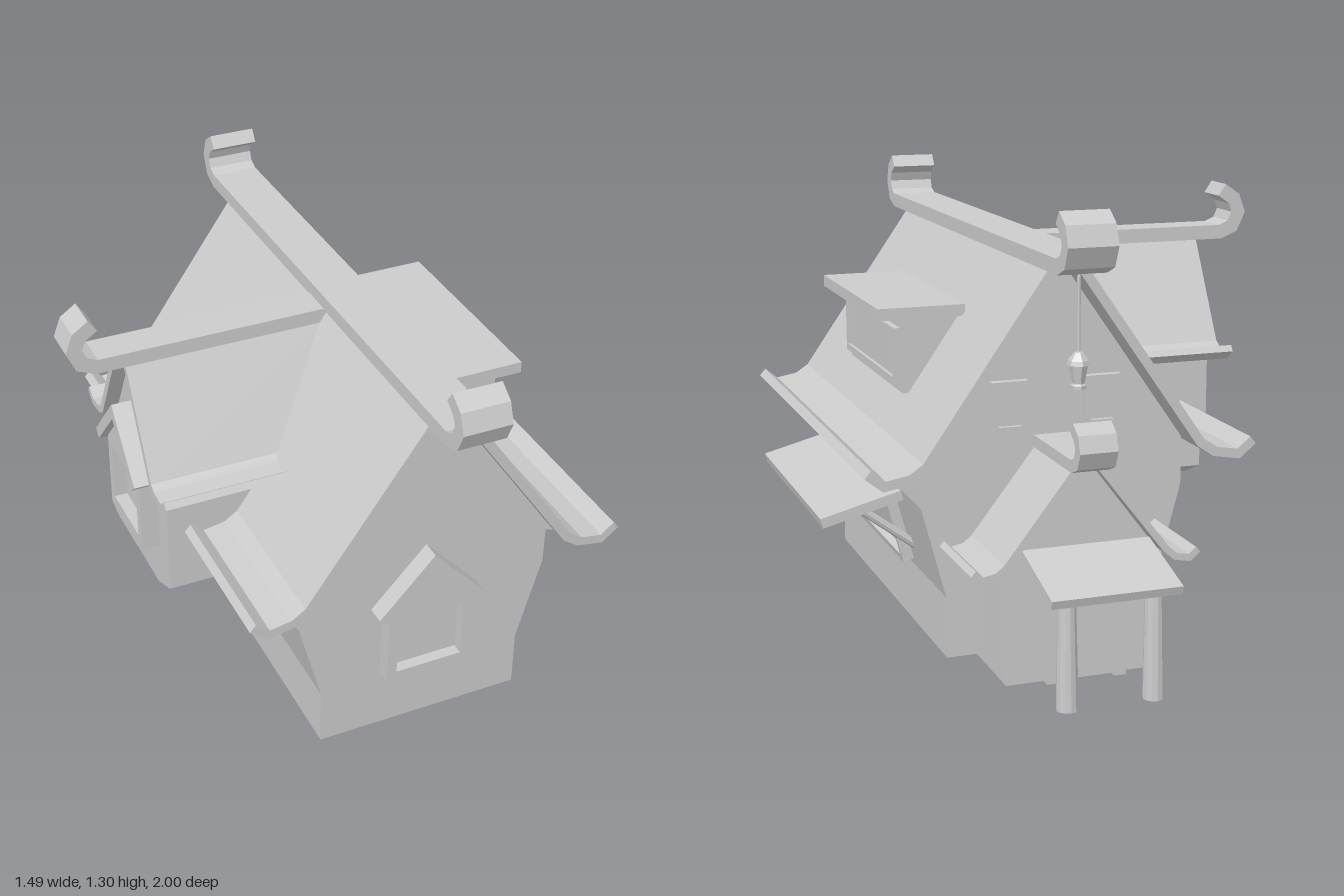
import * as THREE from 'three';

const material = new THREE.MeshStandardMaterial({ color: 0xcccccc, flatShading: true });

function add(parent, name, geometry, x = 0, y = 0, z = 0) {
  const mesh = new THREE.Mesh(geometry, material);
  mesh.name = name;
  mesh.position.set(x, y, z);
  parent.add(mesh);
  return mesh;
}

function group(parent, name, x = 0, y = 0, z = 0) {
  const g = new THREE.Group();
  g.name = name;
  g.position.set(x, y, z);
  parent.add(g);
  return g;
}

const box = (parent, name, w, h, d, x, y, z) => add(parent, name, new THREE.BoxGeometry(w, h, d), x, y, z);
const toShape = (pts) => new THREE.Shape(pts.map(([x, y]) => new THREE.Vector2(x, y)));

// Outline extruded from z0 to z1, with an optional hole
function prism(pts, z0, z1, hole) {
  const shape = toShape(pts);
  if (hole) shape.holes.push(toShape(hole));
  return new THREE.ExtrudeGeometry(shape, { depth: z1 - z0, bevelEnabled: false }).translate(0, 0, z0);
}

// Band of even thickness following a path, extruded from z0 to z1
function ribbon(path, thickness, z0, z1) {
  const p = path.map(([x, y]) => new THREE.Vector2(x, y));
  const upper = [], lower = [];
  p.forEach((v, i) => {
    const a = p[Math.max(i - 1, 0)], b = p[Math.min(i + 1, p.length - 1)];
    const d1 = (i ? v.clone().sub(a) : b.clone().sub(v)).normalize();
    const d2 = (i < p.length - 1 ? b.clone().sub(v) : d1.clone()).normalize();
    const n = new THREE.Vector2(-d1.y - d2.y, d1.x + d2.x).normalize();
    const k = thickness / 2 / (n.x * -d1.y + n.y * d1.x);
    upper.push([v.x + n.x * k, v.y + n.y * k]);
    lower.unshift([v.x - n.x * k, v.y - n.y * k]);
  });
  return prism([...upper, ...lower], z0, z1);
}

const mirror = (pts) => [...pts, ...pts.map(([x, y]) => [-x, y]).reverse()];
const rect = (w, h) => [[-w / 2, -h / 2], [w / 2, -h / 2], [w / 2, h / 2], [-w / 2, h / 2]];

// Both slopes of a roof with upturned eaves
function roof(parent, name, half, thickness, z0, z1) {
  for (const s of [1, -1]) {
    add(parent, name, ribbon(half.map(([x, y]) => [x * s, y]), thickness, z0, z1));
  }
}

// Ridge beam along z; an end marked true curls upward
const CURL = [[-0.085, 0], [-0.042, 0.018], [-0.022, 0.062], [-0.038, 0.105], [-0.08, 0.134]];
function ridge(parent, name, y, width, back, front, curlBack, curlFront, scale = 1) {
  const start = curlBack ? CURL.map(([a, b]) => [back - a * scale, y + b * scale]).reverse() : [[back, y]];
  const end = curlFront ? CURL.map(([a, b]) => [front + a * scale, y + b * scale]) : [[front, y]];
  const mesh = add(parent, name, ribbon([...start, ...end], 0.044 * scale, -width / 2, width / 2));
  mesh.rotation.y = -Math.PI / 2;
}

// Rectangular window facing +z
function frameWindow(parent, name, w, h, border, depth, x, y, z) {
  const g = group(parent, name, x, y, z);
  add(g, 'windowFrame', prism(rect(w, h), -0.01, depth, rect(w - 2 * border, h - 2 * border)));
  box(g, 'windowPane', w - border, h - border, 0.02, 0, 0, 0);
  return g;
}

// Window with its own little gable and a bowed sill
function gableWindow(parent, y, z, depth, roofDepth) {
  const g = group(parent, 'gableWindow', 0, y, z);
  const outline = mirror([[0.08, 0.183], [0.135, 0.2], [0.135, 0.465], [0.001, 0.605]]);
  const hole = rect(0.21, 0.19).map(([a, b]) => [a, b + 0.33]);
  add(g, 'windowSurround', prism(outline, -0.02, depth, hole));
  box(g, 'windowPane', 0.22, 0.2, 0.03, 0, 0.33, 0);
  add(g, 'windowGable', ribbon([[-0.157, 0.443], [0, 0.615], [0.157, 0.443]], 0.033, -0.02, roofDepth));
}

function rod(parent, name, from, to, r0, r1, sides) {
  const a = new THREE.Vector3(...from), b = new THREE.Vector3(...to);
  const mesh = add(parent, name, new THREE.CylinderGeometry(r1, r0, a.distanceTo(b), sides));
  mesh.position.copy(a).lerp(b, 0.5);
  mesh.quaternion.setFromUnitVectors(new THREE.Vector3(0, 1, 0), b.sub(a).normalize());
}

export function createModel() {
  const root = new THREE.Group();
  root.name = 'cottage';
  const house = group(root, 'mainHouse', 0.108);

  // Main house
  add(house, 'houseBody', prism(mirror([[0.325, 0.004], [0.325, 0.185], [0.397, 0.455], [0.397, 0.6], [0.045, 1.11]]), -0.49, 0.71));
  roof(house, 'mainRoof', [[0.045, 1.125], [0.29, 0.775], [0.41, 0.603], [0.455, 0.573], [0.53, 0.56], [0.576, 0.597]], 0.028, -0.6, 0.805);
  ridge(house, 'mainRidge', 1.152, 0.145, -0.785, 1.0, true, true);
  gableWindow(house, 0, 0.71, 0.05, 0.057);

  // Back gable windows
  for (const x of [-0.14, 0.14]) {
    frameWindow(house, 'backWindow', 0.11, 0.15, 0.02, 0.025, x, 0.73, -0.49).rotation.y = Math.PI;
  }

  // Lantern under the rear end of the ridge
  const lantern = group(house, 'lantern', 0, 0, -0.68);
  rod(lantern, 'lanternRod', [0, 0.91, 0], [0, 1.14, 0], 0.005, 0.005, 6);
  const profile = [[0, 0.81], [0.022, 0.81], [0.022, 0.82], [0.017, 0.825], [0.026, 0.875], [0.034, 0.877], [0.03, 0.89], [0.012, 0.912], [0, 0.915]];
  add(lantern, 'lanternBody', new THREE.LatheGeometry(profile.map(([r, y]) => new THREE.Vector2(r, y)), 6));

  // Shed dormer on the left slope
  const shed = group(root, 'shedDormer', 0, 0, 0.105);
  box(shed, 'shedBody', 0.26, 0.225, 0.6, 0.34, 0.833, 0);
  box(shed, 'shedRoof', 0.262, 0.035, 0.66, 0.418, 0.962, 0);
  frameWindow(shed, 'shedWindow', 0.57, 0.168, 0.02, 0.02, 0.47, 0.828, 0).rotation.y = Math.PI / 2;

  // Wide window with awning on the left wall
  const wide = frameWindow(root, 'awningWindow', 0.58, 0.19, 0.02, 0.033, 0.463, 0.3, 0.11);
  wide.rotation.set(0, Math.PI / 2, -0.2535, 'ZYX');
  add(root, 'awning', ribbon([[0.495, 0.438], [0.74, 0.374]], 0.03, -0.278, 0.51));
  for (const z of [0.457, -0.225]) {
    rod(root, 'awningBrace', [0.445, 0.265, z], [0.625, 0.4, z], 0.013, 0.013, 8);
  }

  // Small window on the right wall
  const small = frameWindow(root, 'sideWindow', 0.15, 0.165, 0.025, 0.03, -0.245, 0.3, -0.217);
  small.rotation.set(0, -Math.PI / 2, 0.2535, 'ZYX');

  // Cross-gable bay facing right
  const bay = group(root, 'bay', 0, 0, 0.105);
  bay.rotation.y = -Math.PI / 2;
  add(bay, 'bayBody', prism(mirror([[0.11, 0.345], [0.21, 0.39], [0.21, 0.77], [0.035, 1.085]]), 0, 0.53));
  roof(bay, 'bayRoof', [[0.035, 1.1], [0.212, 0.785], [0.24, 0.77], [0.295, 0.763], [0.332, 0.79]], 0.022, -0.06, 0.576);
  ridge(bay, 'bayRidge', 1.112, 0.107, -0.06, 0.745, false, true);
  gableWindow(bay, 0.3, 0.53, 0.055, 0.08);

  // Rear annex
  const annex = group(root, 'annex', 0.115);
  add(annex, 'annexBody', prism(mirror([[0.225, 0], [0.225, 0.345], [0.03, 0.6]]), -0.74, -0.335));
  roof(annex, 'annexRoof', [[0.028, 0.62], [0.235, 0.355], [0.262, 0.333], [0.305, 0.325], [0.33, 0.347]], 0.02, -0.78, -0.4);
  ridge(annex, 'annexRidge', 0.623, 0.11, -0.855, -0.4, true, false, 0.8);

  // Door and its frame
  box(annex, 'door', 0.19, 0.27, 0.02, 0, 0.137, -0.742);
  for (const s of [-1, 1]) box(annex, 'doorJamb', 0.035, 0.3, 0.045, s * 0.1, 0.152, -0.7525);
  box(annex, 'doorLintel', 0.235, 0.035, 0.045, 0, 0.285, -0.7525);

  // Porch
  const porchRoof = add(annex, 'porchRoof', ribbon([[-0.996, 0.313], [-0.76, 0.382]], 0.025, -0.187, 0.187));
  porchRoof.rotation.y = -Math.PI / 2;
  for (const s of [-1, 1]) {
    rod(annex, 'porchPost', [s * 0.125, 0, -0.951], [s * 0.125, 0.32, -0.943], 0.031, 0.025, 12);
    rod(annex, 'porchBeam', [s * 0.125, 0.288, -0.73], [s * 0.125, 0.31, -0.94], 0.011, 0.011, 8);
  }

  return root;
}
